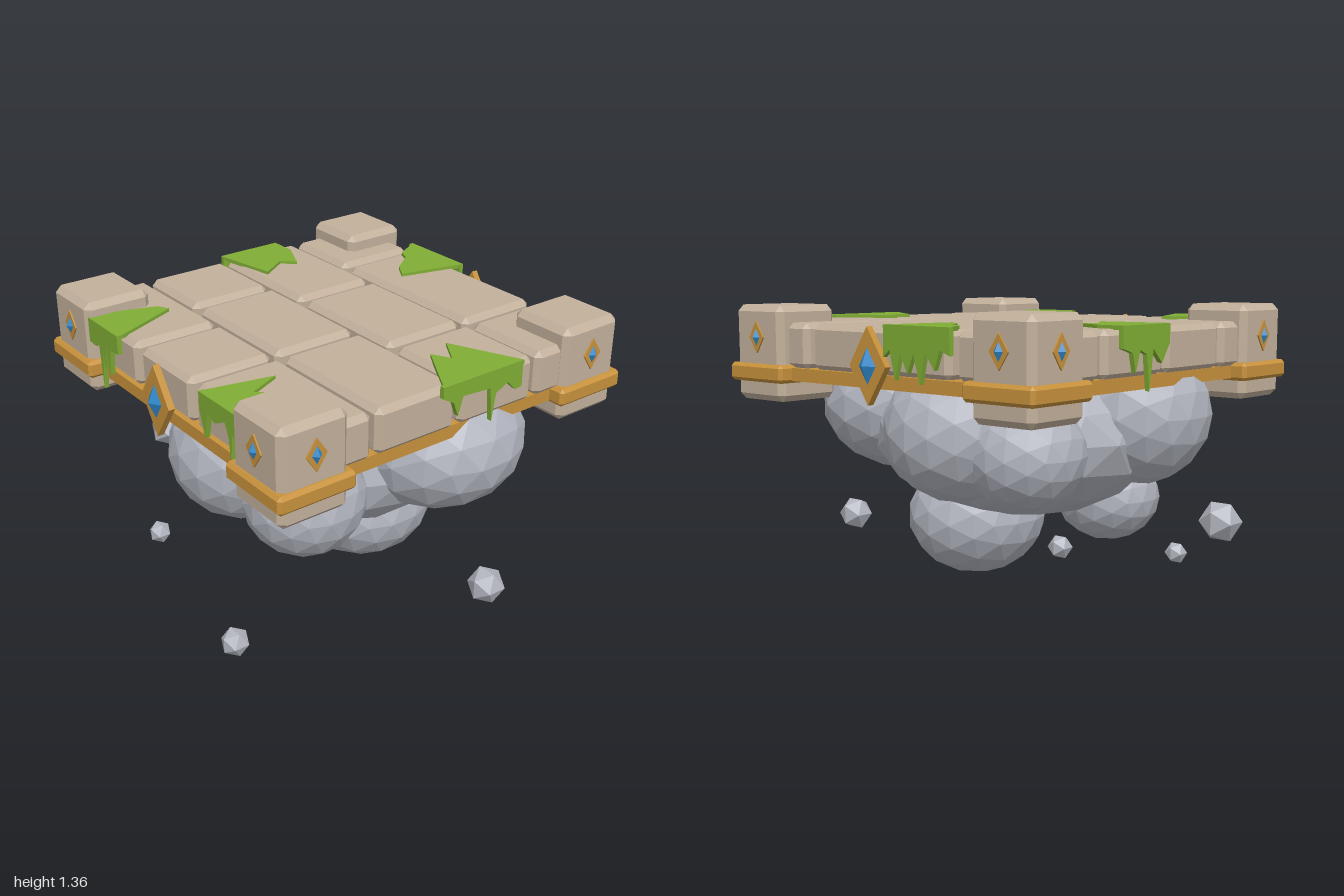
import * as THREE from 'three';
import { ConvexGeometry } from 'three/addons/geometries/ConvexGeometry.js';

const mat = (name, color) => Object.assign(new THREE.MeshStandardMaterial({ color }), { name });

export function createModel() {
  const stone = mat('tan stone', 0xc2b09b);
  const gold = mat('gold', 0xc8923c);
  const rock = mat('grey rock', 0xb2b5bf);
  const moss = mat('moss green', 0x80ad35);
  const blue = mat('gem blue', 0x2f88cc);
  const model = new THREE.Group();
  model.name = 'floatingPlatform';
  const CX = 0.018; // platform centre in x

  const add = (name, geo, material, x = 0, y = 0, z = 0, parent = model) => {
    const m = new THREE.Mesh(geo, material);
    m.name = name;
    m.position.set(x, y, z);
    parent.add(m);
    return m;
  };

  // Faceted normals
  const flat = (geo) => {
    const g = geo.index ? geo.toNonIndexed() : geo;
    g.computeVertexNormals();
    return g;
  };

  // Box with all edges cut at 45 degrees
  const chamferBox = (w, h, d, c) => {
    const pts = [];
    for (const sx of [-1, 1]) for (const sy of [-1, 1]) for (const sz of [-1, 1]) {
      const [x, y, z] = [w / 2, h / 2, d / 2];
      pts.push(
        new THREE.Vector3(sx * x, sy * (y - c), sz * (z - c)),
        new THREE.Vector3(sx * (x - c), sy * y, sz * (z - c)),
        new THREE.Vector3(sx * (x - c), sy * (y - c), sz * z));
    }
    return new ConvexGeometry(pts);
  };

  // Gold base slab
  add('baseSlab', new THREE.BoxGeometry(1.65, 0.057, 1.67), gold, CX, 1.073, 0);

  // Paving tiles: the x seams of each row, back to front
  const rows = [[-0.408, 0.443], [-0.193, 0.437], [-0.407, 0.23], [-0.193, 0.23]];
  rows.forEach((seams, r) => {
    const edges = [-0.84, ...seams, 0.881];
    const z = -0.63 + r * 0.42;
    for (let i = 0; i < 3; i++) {
      const w = edges[i + 1] - edges[i] - 0.034;
      add('pavingTile', chamferBox(w, 0.2, 0.398, 0.025), stone,
        (edges[i] + edges[i + 1]) / 2, 1.196, z);
    }
  });

  // Diamond jewel facing +z before its turn
  const jewel = (name, x, y, z, angle, w, h, gw, gh, reach) => {
    const g = new THREE.Group();
    g.name = name;
    g.position.set(x, y, z);
    g.rotation.y = angle;
    const plate = new THREE.CylinderGeometry(1, 1, 0.03, 4).rotateX(Math.PI / 2).scale(w, h, 1);
    add('jewelFrame', flat(plate), gold, 0, 0, 0, g);
    add('jewelGem', flat(new THREE.OctahedronGeometry(1).scale(gw, gh, reach)), blue, 0, 0, 0.005, g);
    model.add(g);
  };

  // Corner pillars with gold bands and two outer jewels each
  for (const sx of [-1, 1]) for (const sz of [-1, 1]) {
    const x = CX + sx * 0.717, z = sz * 0.72;
    add('cornerPillar', chamferBox(0.317, 0.42, 0.317, 0.028), stone, x, 1.16, z);
    add('pillarBand', chamferBox(0.36, 0.08, 0.36, 0.015), gold, x, 1.074, z);
    jewel('pillarJewel', x, 1.23, sz * 0.87, sz > 0 ? 0 : Math.PI, 0.048, 0.07, 0.034, 0.056, 0.03);
    jewel('pillarJewel', CX + sx * 0.867, 1.23, z, sx * Math.PI / 2, 0.048, 0.07, 0.034, 0.056, 0.03);
  }

  // Large jewels at front and back
  for (const sz of [-1, 1])
    jewel('mainJewel', CX, 1.14, sz * 0.865, sz > 0 ? 0 : Math.PI, 0.107, 0.16, 0.065, 0.1, 0.042);

  // Moss: a flat patch on top and a dripping curtain on the edge
  const extrude = (pts, depth) => new THREE.ExtrudeGeometry(
    new THREE.Shape(pts.map(([a, b]) => new THREE.Vector2(a, b))), { depth, bevelEnabled: false });
  const mossPatch = (pts) => add('mossPatch',
    extrude(pts.map(([x, z]) => [x, -z]), 0.018).rotateX(-Math.PI / 2), moss, 0, 1.292, 0);
  const mossDrip = (pts, dist, angle) => add('mossDrip',
    extrude(pts, 0.022).translate(0, 0, dist).rotateY(angle), moss);

  // Front left edge
  mossPatch([[-0.555, 0.867], [-0.3, 0.867], [-0.305, 0.83], [-0.433, 0.535], [-0.485, 0.565], [-0.54, 0.73]]);
  mossDrip([[-0.555, 1.31], [-0.555, 1.2], [-0.5, 1.195], [-0.47, 1.21], [-0.455, 1.01], [-0.437, 1.2],
    [-0.427, 1.11], [-0.405, 1.225], [-0.385, 1.1], [-0.37, 1.22], [-0.3, 1.225], [-0.3, 1.31]], 0.845, 0);
  // Front right edge
  mossPatch([[0.34, 0.867], [0.593, 0.867], [0.575, 0.79], [0.535, 0.62], [0.475, 0.705], [0.406, 0.555]]);
  mossDrip([[0.34, 1.31], [0.34, 1.235], [0.375, 1.12], [0.4, 1.235], [0.45, 1.215], [0.52, 1.25],
    [0.545, 1.19], [0.555, 1.075], [0.57, 1.215], [0.593, 1.19], [0.593, 1.31]], 0.845, 0);
  // Right side
  mossPatch([[0.887, -0.325], [0.575, -0.185], [0.7, -0.105], [0.62, -0.06], [0.887, 0.105]]);
  mossDrip([[-0.105, 1.31], [-0.105, 1.26], [-0.05, 1.23], [-0.025, 1.165], [0, 1.245], [0.145, 1.235],
    [0.16, 1.085], [0.178, 1.205], [0.24, 1.235], [0.285, 1.19], [0.32, 1.195], [0.32, 1.31]], 0.865, Math.PI / 2);
  // Left side
  mossPatch([[-0.85, -0.325], [-0.72, -0.325], [-0.57, -0.255], [-0.625, -0.195], [-0.54, -0.065], [-0.85, -0.005]]);
  mossDrip([[-0.325, 1.31], [-0.325, 1.22], [-0.26, 1.2], [-0.24, 1.12], [-0.21, 1.21], [-0.165, 1.19],
    [-0.145, 1.04], [-0.12, 1.21], [-0.06, 1.15], [-0.005, 1.23], [-0.005, 1.31]], 0.828, -Math.PI / 2);
  // Back edge
  mossPatch([[-0.433, -0.867], [-0.064, -0.867], [-0.14, -0.55], [-0.22, -0.6], [-0.3, -0.71], [-0.36, -0.735]]);
  mossDrip([[0.064, 1.31], [0.064, 1.18], [0.1, 1.21], [0.13, 1.09], [0.16, 1.2], [0.2, 1.12], [0.235, 1.2],
    [0.27, 1.08], [0.3, 1.21], [0.35, 1.14], [0.38, 1.22], [0.433, 1.2], [0.433, 1.31]], 0.845, Math.PI);

  // Boulder cluster underneath: position, then radii
  const boulders = [
    [0, 0.8, 0, 0.7, 0.39, 0.6],
    [-0.55, 0.9, 0.2, 0.32, 0.315, 0.33],
    [0.16, 0.89, 0.56, 0.31, 0.3, 0.315],
    [0.5, 0.79, 0.49, 0.26, 0.25, 0.26],
    [0.56, 0.9, -0.16, 0.385, 0.31, 0.385],
    [-0.2, 0.87, -0.58, 0.31, 0.3, 0.315],
    [-0.51, 0.79, -0.51, 0.25, 0.23, 0.25],
    [-0.31, 0.49, 0.3, 0.24, 0.205, 0.24],
    [0.135, 0.405, -0.11, 0.31, 0.27, 0.325],
  ];
  for (const [x, y, z, rx, ry, rz] of boulders)
    add('boulder', flat(new THREE.IcosahedronGeometry(1, 2).scale(rx, ry, rz)), rock, x, y, z);

  // Loose floating stones
  for (const [x, y, z, r] of [[-0.915, 0.445, 0.31, 0.095], [0.925, 0.31, -0.16, 0.083],
    [-0.463, 0.178, 0.645, 0.054], [0.34, 0.067, 0.75, 0.067]])
    add('floatingStone', flat(new THREE.IcosahedronGeometry(r, 0)), rock, x, y, z);

  return model;
}
